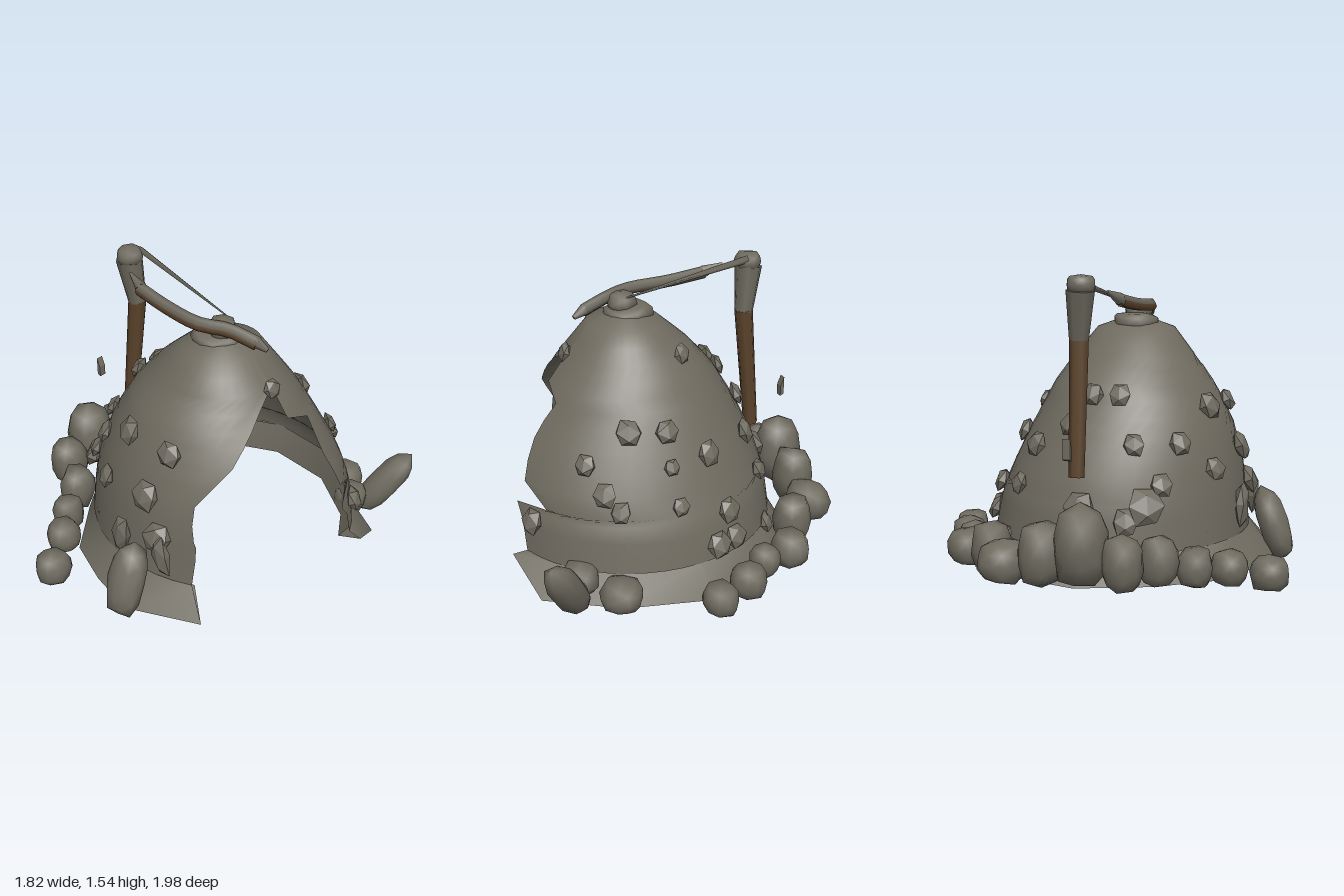
import * as THREE from 'three';
import { mergeVertices } from 'three/addons/utils/BufferGeometryUtils.js';

const stoneMat = new THREE.MeshStandardMaterial({ name: 'grey stone', color: 0x6f6b60, side: THREE.DoubleSide });
const woodMat = new THREE.MeshStandardMaterial({ name: 'brown wood', color: 0x5c442c, side: THREE.DoubleSide });
const V = (x, y, z) => new THREE.Vector3(x, y, z);
const rad = THREE.MathUtils.degToRad;

// Seeded random numbers
let seed = 7;
const rnd = () => (seed = (seed * 16807) % 2147483647) / 2147483647;

// Dome cross-sections: y, centre x, centre z, radius x, radius z
const SECTIONS = [
  [0.2, 0.15, -0.02, 0.73, 0.69], [0.4, 0.155, -0.01, 0.71, 0.66], [0.6, 0.165, 0.02, 0.66, 0.6],
  [0.8, 0.16, 0.04, 0.56, 0.52], [1.0, 0.155, 0.04, 0.43, 0.41], [1.13, 0.165, 0.04, 0.32, 0.31],
  [1.26, 0.185, 0.04, 0.19, 0.21], [1.31, 0.18, 0.04, 0.07, 0.07],
];
function domePoint(deg, y) {
  let i = 0;
  while (i < SECTIONS.length - 2 && y > SECTIONS[i + 1][0]) i++;
  const p = SECTIONS[i], q = SECTIONS[i + 1];
  const t = (y - p[0]) / (q[0] - p[0]);
  const [cx, cz, rx, rz] = [1, 2, 3, 4].map(k => p[k] + (q[k] - p[k]) * t);
  return V(cx + rx * Math.cos(rad(deg)), y, cz + rz * Math.sin(rad(deg)));
}

// Smooth sheet through rows of points
function sheet(name, rows, material) {
  const n = rows[0].length, index = [];
  for (let i = 0; i < rows.length - 1; i++) {
    for (let j = 0; j < n - 1; j++) {
      const a = i * n + j, b = a + n;
      index.push(a, b, a + 1, a + 1, b, b + 1);
    }
  }
  const g = new THREE.BufferGeometry().setFromPoints(rows.flat());
  g.setIndex(index);
  g.computeVertexNormals();
  return named(name, g, material);
}
function named(name, geometry, material) {
  const m = new THREE.Mesh(geometry, material);
  m.name = name;
  return m;
}

// Irregular rock: boulders are smooth with full, blocky sides; pebbles are faceted
function rock(name, pos, size, smooth = true, rough = 0.14) {
  let g = new THREE.IcosahedronGeometry(1, smooth ? 1 : 0);
  g.deleteAttribute('normal');
  g.deleteAttribute('uv');
  g = mergeVertices(g);
  const p = g.attributes.position, v = V(0, 0, 0);
  for (let i = 0; i < p.count; i++) {
    v.fromBufferAttribute(p, i);
    const h = Math.hypot(v.x, v.z);
    const full = smooth && h > 0.01 ? h ** -0.45 : 1;
    v.multiplyScalar(1 + (rnd() - 0.5) * 2 * rough);
    p.setXYZ(i, v.x * full * size[0], v.y * size[1], v.z * full * size[2]);
  }
  if (!smooth) g = g.toNonIndexed();
  g.computeVertexNormals();
  const m = named(name, g, stoneMat);
  m.position.copy(pos);
  return m;
}

// Tapered bar between two points
function bar(name, a, b, ra, rb, material, sides = 7) {
  const m = named(name, new THREE.CylinderGeometry(rb, ra, a.distanceTo(b), sides), material);
  m.position.copy(a).lerp(b, 0.5);
  m.quaternion.setFromUnitVectors(V(0, 1, 0), b.clone().sub(a).normalize());
  return m;
}

export function createModel() {
  const model = new THREE.Group();
  model.name = 'brokenDomeHut';

  // Dome shell: y, angle of the opening's front edge, angle of its jagged back edge
  const edges = [
    [0.2, 65, -20], [0.35, 64, -17], [0.43, 64, -12], [0.46, 65, -32], [0.55, 66, -17], [0.65, 65, -16],
    [0.75, 56, -15], [0.84, 45, -17], [0.92, 37, -20], [0.98, 30, 0], [1.05, 20, 0], [1.12, 0, 0],
    [1.19, 0, 0], [1.26, 0, 0], [1.31, 0, 0],
  ];
  const N = 36;
  model.add(sheet('domeShell', edges.map(([y, front, back]) =>
    Array.from({ length: N + 1 }, (_, j) => domePoint(front + (360 + back - front) * j / N, y))), stoneMat));

  // Sloping skirt around the foot: outer edge x, y, z
  const outer = [
    [0.58, 0.06, 0.68], [0.2, 0.05, 0.83], [-0.06, 0.05, 0.76], [-0.31, 0.05, 0.65], [-0.52, 0.05, 0.36],
    [-0.67, 0.05, 0], [-0.61, 0.05, -0.35], [-0.4, 0.05, -0.62], [0.05, 0.05, -0.82], [0.48, 0.05, -0.72],
    [0.84, 0.05, -0.5], [0.91, 0.19, -0.25],
  ].map(p => V(...p));
  const angles = outer.map(p => THREE.MathUtils.radToDeg(Math.atan2((p.z + 0.02) / 0.69, (p.x - 0.15) / 0.73)));
  angles[0] = 65;
  angles[angles.length - 1] = -20;
  model.add(sheet('footSkirt', [outer, angles.map(a => domePoint(a, 0.2))], stoneMat));

  // Inner ledge: rises from the skirt's underside to a lip, then back up to the wall
  const lip = angles.map(a => {
    const p = domePoint(a, 0.2);
    return V(0.15 + (p.x - 0.15) * 0.92, 0.15, -0.02 + (p.z + 0.02) * 0.92);
  });
  const ledgeTop = angles.map(a =>
    domePoint(a, 0.2 + 0.13 * THREE.MathUtils.clamp(0.7 + Math.cos(rad(a + 140)), 0, 1)));
  model.add(sheet('ledgeUnderside', [lip, outer], stoneMat));
  model.add(sheet('ledgeTop', [ledgeTop, lip], stoneMat));

  // Ring of boulders: x, y, z, width radius, height radius
  const boulders = [
    [0.05, 0.11, -0.9, 0.09, 0.08], [-0.14, 0.12, -0.82, 0.095, 0.09], [-0.28, 0.14, -0.72, 0.08, 0.09],
    [-0.46, 0.14, -0.67, 0.1, 0.1], [-0.57, 0.19, -0.48, 0.1, 0.13], [-0.75, 0.18, -0.33, 0.12, 0.11],
    [-0.77, 0.24, -0.12, 0.11, 0.16], [-0.77, 0.3, 0.08, 0.13, 0.2], [-0.75, 0.23, 0.28, 0.1, 0.14],
    [-0.56, 0.2, 0.4, 0.095, 0.13], [-0.48, 0.16, 0.56, 0.085, 0.1], [-0.37, 0.14, 0.7, 0.09, 0.09],
    [-0.27, 0.1, 0.88, 0.095, 0.09], [0.5, 0.14, -0.72, 0.105, 0.08], [0.65, 0.17, -0.55, 0.095, 0.08],
  ];
  for (const [x, y, z, w, h] of boulders) model.add(rock('boulder', V(x, y, z), [w, h, w * 1.05], true, 0.08));

  // Upright stones
  const frontStone = rock('frontUprightStone', V(0.2, 0.23, 0.81), [0.1, 0.2, 0.08], true, 0.07);
  frontStone.rotation.x = -0.36;
  const backStone = rock('backUprightStone', V(0.77, 0.23, -0.71), [0.085, 0.22, 0.08], true, 0.07);
  backStone.quaternion.setFromUnitVectors(V(0, 1, 0), V(0.19, 0.36, -0.18).normalize());
  const innerStone = rock('innerWallStone', V(-0.42, 0.565, -0.04), [0.05, 0.195, 0.052], true, 0.04);
  innerStone.rotation.z = -0.2;
  model.add(frontStone, backStone, innerStone);

  // Pebbles set in the front of the wall: x, y, radius
  const frontPebbles = [
    [-0.02, 0.87, 0.065], [0.25, 0.87, 0.06], [-0.27, 0.72, 0.055], [0.18, 0.64, 0.07], [-0.14, 0.57, 0.055],
    [-0.4, 0.53, 0.055], [0.27, 0.44, 0.07],
  ].map(([x, y, r]) => {
    const right = domePoint(0, y).x, left = domePoint(180, y).x;
    const c = (2 * x - left - right) / (right - left);
    return [THREE.MathUtils.radToDeg(Math.acos(c)), y, r];
  });
  // Pebbles on the sides and back: angle, y, radius
  const otherPebbles = [
    [-90, 0.84, 0.055], [-90, 0.68, 0.04], [-91, 0.5, 0.04], [-110, 0.7, 0.06], [-143, 0.68, 0.06],
    [-142, 0.48, 0.055], [-163, 0.8, 0.055], [-112, 0.42, 0.06], [-105, 0.27, 0.06], [-114, 0.27, 0.06],
    [180, 0.42, 0.07], [-139, 0.2, 0.05], [-125, 1.13, 0.045], [-60, 0.58, 0.055], [-50, 0.7, 0.05],
    [-66, 0.5, 0.05], [-70, 0.85, 0.06], [-25, 0.38, 0.06], [2, 1.12, 0.045], [160, 0.72, 0.05],
    [170, 0.95, 0.055], [-172, 0.95, 0.05], [152, 0.43, 0.085], [160, 0.36, 0.06],
  ];
  for (const [deg, y, r] of [...frontPebbles, ...otherPebbles]) {
    const pos = domePoint(deg, y).add(V(Math.cos(rad(deg)), 0.3, Math.sin(rad(deg))).multiplyScalar(r * 0.3));
    const m = rock('wallPebble', pos, [r * 1.15, r * 1.2, r * 0.6], false, 0.1);
    m.rotation.set(-0.4, Math.PI / 2 - rad(deg), 0, 'YXZ');
    model.add(m);
  }
  for (const [x, y, lean] of [[0.04, 0.36, -0.1], [0.31, 0.36, 0.2]]) {
    const slab = rock('wallSlab', V(x, y, 0.67), [0.06, 0.13, 0.04], false, 0.12);
    slab.rotation.z = lean;
    model.add(slab);
  }

  // Crumpled cap
  model.add(rock('capCollar', V(0.15, 1.285, 0.05), [0.13, 0.055, 0.13], true, 0.1));
  model.add(rock('capKnob', V(0.19, 1.345, 0.05), [0.075, 0.055, 0.075], true, 0.1));

  // Post: wooden shaft with a widening stone-grey head
  model.add(bar('postShaft', V(-0.53, 0.57, -0.03), V(-0.46, 1.25, -0.04), 0.04, 0.05, woodMat));
  model.add(bar('postNeck', V(-0.461, 1.24, -0.04), V(-0.49, 1.48, -0.02), 0.05, 0.073, stoneMat));
  model.add(rock('postKnob', V(-0.485, 1.505, -0.02), [0.068, 0.05, 0.074], true, 0.06));

  // Bent stick across the cap, grey above and brown below
  const stickPath = new THREE.CatmullRomCurve3([V(-0.3, 1.43, 0.11), V(-0.1, 1.4, 0.13), V(0.12, 1.385, 0.14),
    V(0.26, 1.375, 0.08), V(0.4, 1.335, 0.04)]);
  model.add(named('stickTop', new THREE.TubeGeometry(stickPath, 12, 0.03, 6), stoneMat));
  const underside = named('stickUnderside', new THREE.TubeGeometry(stickPath, 12, 0.027, 6), woodMat);
  underside.position.set(0, -0.012, 0.008);
  model.add(underside);
  model.add(bar('stickTip', V(-0.29, 1.43, 0.11), V(-0.39, 1.47, 0.08), 0.032, 0.008, stoneMat, 6));
  model.add(bar('stickTip', V(0.39, 1.338, 0.043), V(0.455, 1.305, 0.03), 0.032, 0.012, stoneMat, 6));

  // Thin tie from the post head to the cap
  model.add(bar('tie', V(-0.46, 1.53, -0.07), V(0.2, 1.38, 0), 0.02, 0.004, stoneMat, 4));

  // Loose flake beside the post
  const flake = new THREE.Shape([[-0.01, 0.11], [0.01, 0.06], [0.01, 0], [-0.01, 0.01]].map(p => new THREE.Vector2(...p)));
  const flakeMesh = named('looseFlake', new THREE.ExtrudeGeometry(flake, { depth: 0.04, bevelEnabled: false }), stoneMat);
  flakeMesh.position.set(-0.73, 0.69, -0.02);
  model.add(flakeMesh);

  return model;
}
